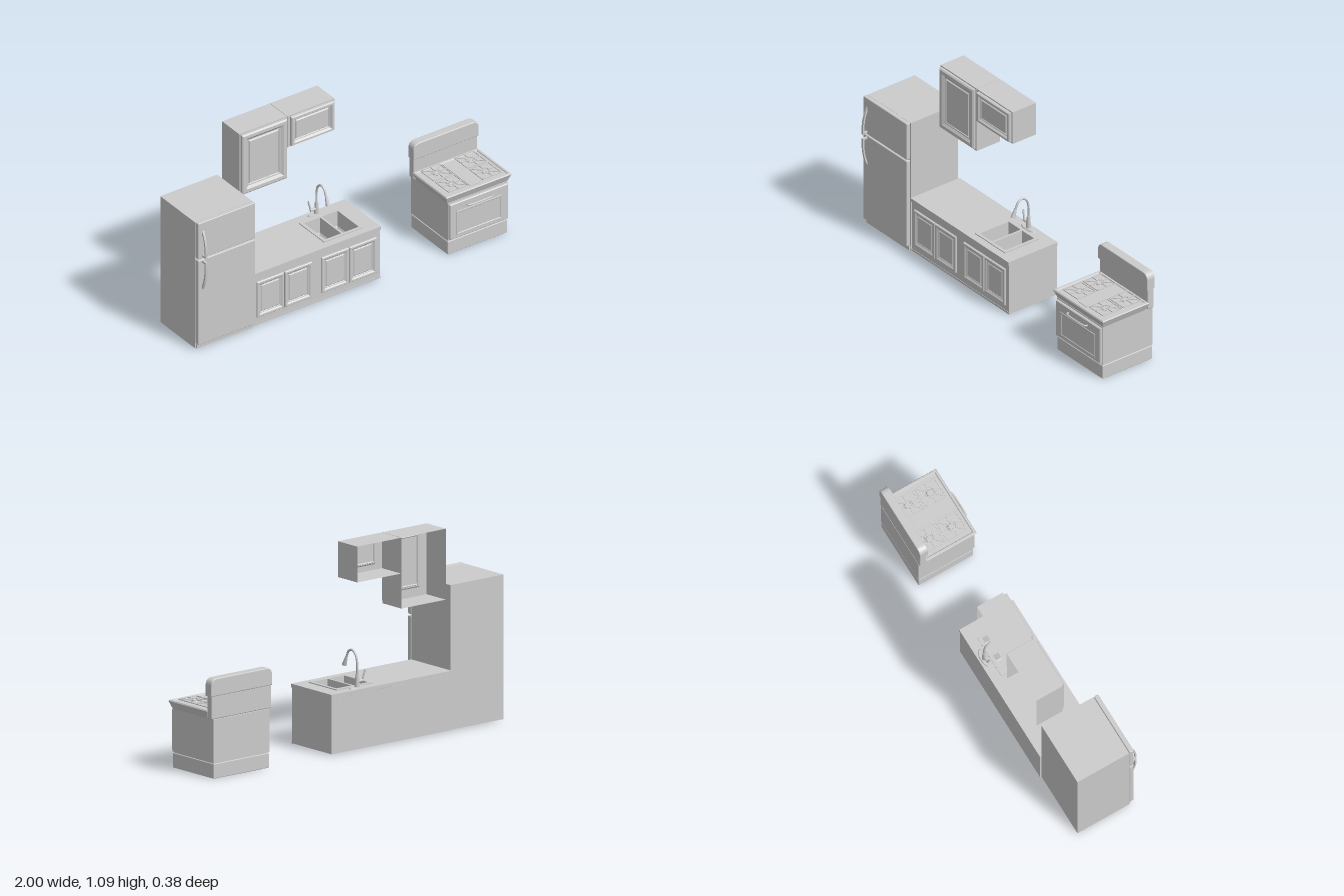
import * as THREE from 'three';
import { RoundedBoxGeometry } from 'three/addons/geometries/RoundedBoxGeometry.js';

const mat = new THREE.MeshStandardMaterial({ color: 0xcccccc, side: THREE.DoubleSide });

function add(parent, name, geo) {
  const m = new THREE.Mesh(geo, mat);
  m.name = name;
  parent.add(m);
  return m;
}
function group(parent, name) {
  const g = new THREE.Group();
  g.name = name;
  parent.add(g);
  return g;
}
// Box from its limits; r rounds the edges
function box(parent, name, [x0, x1], [y0, y1], [z0, z1], r = 0) {
  const s = [x1 - x0, y1 - y0, z1 - z0];
  const geo = r ? new RoundedBoxGeometry(...s, 2, r) : new THREE.BoxGeometry(...s);
  return add(parent, name, geo.translate((x0 + x1) / 2, (y0 + y1) / 2, (z0 + z1) / 2));
}
// Box shell with some faces left open (0..5 = +x -x +y -y +z -z)
function shell(parent, name, xs, ys, zs, open) {
  const m = box(parent, name, xs, ys, zs);
  const idx = Array.from(m.geometry.index.array);
  m.geometry.setIndex(idx.filter((_, i) => !open.includes(Math.floor(i / 6))));
  return m;
}
// Nested rectangles facing +z, joined step by step: each step is [inset, z]
function rectLoft([x0, x1], [y0, y1], steps) {
  const loops = steps.map(([d, z]) => [
    [x0 + d, y0 + d, z], [x1 - d, y0 + d, z], [x1 - d, y1 - d, z], [x0 + d, y1 - d, z]]);
  const pos = [];
  const quad = (a, b, c, d) => pos.push(...a, ...b, ...c, ...a, ...c, ...d);
  for (let k = 1; k < loops.length; k++)
    for (let i = 0; i < 4; i++) {
      const j = (i + 1) % 4;
      quad(loops[k - 1][i], loops[k - 1][j], loops[k][j], loops[k][i]);
    }
  quad(...loops[loops.length - 1]);
  const geo = new THREE.BufferGeometry();
  geo.setAttribute('position', new THREE.Float32BufferAttribute(pos, 3));
  geo.computeVertexNormals();
  return geo;
}
function rectPath([x0, x1], [y0, y1], Type = THREE.Path) {
  return new Type([[x0, y0], [x1, y0], [x1, y1], [x0, y1]].map(p => new THREE.Vector2(...p)));
}
function plate(outer, holes) {
  const s = rectPath(...outer, THREE.Shape);
  s.holes = holes.map(h => rectPath(...h));
  return s;
}
const inset = ([xs, ys], d) => [[xs[0] + d, xs[1] - d], [ys[0] + d, ys[1] - d]];
const rod = (pts, r, n = 24) => new THREE.TubeGeometry(
  new THREE.CatmullRomCurve3(pts.map(p => new THREE.Vector3(...p))), n, r, 10);

// Cabinet: shell, front frame with openings and panelled doors
function cabinet(parent, name, xs, ys, zs, open, doors, w, t) {
  const g = group(parent, name);
  const z = zs[1];
  shell(g, 'cabinetShell', xs, ys, zs, [4, ...open]);
  add(g, 'faceFrame', new THREE.ShapeGeometry(plate([xs, ys], doors.map(d => inset(d, w * 0.8))))
    .translate(0, 0, z));
  for (const d of doors)
    add(g, 'panelDoor', rectLoft(...d, [[0, z], [0, z + t * 0.65], [w * 0.15, z + t], [w * 0.55, z + t],
      [w * 0.85, z + t * 0.45], [w, z + t * 0.45], [w + 0.003, z + t * 0.2], [w + 0.008, z + t * 0.55]]));
}

function buildFridge(root) {
  const g = group(root, 'refrigerator');
  const xs = [-1, -0.637];
  shell(g, 'fridgeBody', xs, [0.005, 0.78], [-0.182, 0.132], [3]);
  box(g, 'freezerDoor', xs, [0.564, 0.784], [0.134, 0.16], 0.005);
  box(g, 'fridgeDoor', xs, [0.036, 0.556], [0.134, 0.16], 0.005);
  box(g, 'kickPlate', [-0.995, -0.642], [0.007, 0.032], [0.13, 0.142]);
  // Bowed handles, mirrored about the gap between the doors
  for (const [foot, len] of [[0.575, 0.16], [0.55, -0.18]]) {
    const y = t => foot + len * t;
    const s = new THREE.Shape();
    s.moveTo(0.158, y(1));
    s.quadraticCurveTo(0.188, y(0.7), 0.192, y(0.2));
    s.lineTo(0.192, y(0));
    s.lineTo(0.158, y(0));
    s.lineTo(0.158, y(0.06));
    s.lineTo(0.183, y(0.06));
    s.quadraticCurveTo(0.182, y(0.6), 0.158, y(0.86));
    add(g, 'doorHandle', new THREE.ExtrudeGeometry(s, { depth: 0.012, bevelEnabled: false })
      .rotateY(-Math.PI / 2).translate(-0.963, 0, 0));
  }
}

function buildCounter(root) {
  const g = group(root, 'counter');
  const doorY = [0.05, 0.268];
  const z = [-0.19, 0.127];
  cabinet(g, 'baseCabinet', [-0.635, -0.228], [0.005, 0.303], z, [],
    [[[-0.607, -0.434], doorY], [[-0.43, -0.257], doorY]], 0.025, 0.011);
  cabinet(g, 'sinkCabinet', [-0.228, 0.18], [0.005, 0.303], z, [2, 3],
    [[[-0.195, -0.022], doorY], [[-0.018, 0.155], doorY]], 0.025, 0.011);
  box(g, 'toeStrip', [-0.637, 0.182], [0.004, 0.016], [0.12, 0.129]);

  // Worktop and sink, drawn as (x, -z) outlines and laid flat
  const flat = (shape, depth, y) => new THREE.ExtrudeGeometry(shape, { depth, bevelEnabled: false })
    .rotateX(-Math.PI / 2).translate(0, y, 0);
  const rim = [[-0.15, 0.1], [-0.092, 0.135]];
  add(g, 'worktop', flat(plate([[-0.637, 0.183], [-0.134, 0.192]], [inset(rim, 0.008)]), 0.02, 0.304));
  const basins = [[-0.13, -0.03], [-0.018, 0.082]].map(x => [x, [-0.075, 0.115]]);
  add(g, 'sinkRim', flat(plate(rim, basins), 0.006, 0.323));
  for (const b of basins) {
    add(g, 'sinkBasin', rectLoft(...b, [[0, 0.328], [0.004, 0.24], [0.012, 0.23]]).rotateX(-Math.PI / 2));
    add(g, 'drain', new THREE.CylinderGeometry(0.012, 0.012, 0.004, 16)
      .translate((b[0][0] + b[0][1]) / 2, 0.232, -0.02));
  }

  // Faucet with goose neck and side lever
  const f = group(g, 'faucet');
  f.position.set(-0.02, 0.324, -0.16);
  add(f, 'faucetPlate', new THREE.CylinderGeometry(0.05, 0.055, 0.007, 32).scale(1, 1, 0.42).translate(0, 0.003, 0));
  add(f, 'faucetPost', new THREE.CylinderGeometry(0.009, 0.014, 0.07, 16).translate(0, 0.04, 0));
  add(f, 'faucetNeck', rod([[0, 0.06, 0], [0, 0.13, 0], [0, 0.175, 0.012], [0, 0.196, 0.04],
    [0, 0.186, 0.068], [0, 0.15, 0.086]], 0.006, 40));
  const head = add(f, 'sprayHead', new THREE.CylinderGeometry(0.007, 0.013, 0.05, 16));
  head.position.set(0, 0.128, 0.095);
  head.rotation.x = -0.36;
  add(f, 'leverHub', new THREE.CylinderGeometry(0.008, 0.008, 0.04, 12).rotateZ(Math.PI / 2).translate(-0.02, 0.035, 0));
  add(f, 'lever', rod([[-0.036, 0.03, 0], [-0.042, 0.06, -0.002], [-0.05, 0.09, -0.004]], 0.005));
}

function buildWallCabinets(root) {
  const g = group(root, 'wallCabinets');
  const z = [-0.19, -0.035];
  cabinet(g, 'tallWallCabinet', [-0.6, -0.297], [0.71, 1.09], z, [5],
    [[[-0.592, -0.305], [0.722, 1.083]]], 0.045, 0.018);
  cabinet(g, 'shortWallCabinet', [-0.295, 0.005], [0.898, 1.09], z, [5],
    [[[-0.278, -0.005], [0.906, 1.083]]], 0.028, 0.018);
}

function buildStove(root) {
  const g = group(root, 'stove');
  const cx = 0.792;
  const wide = w => [cx - w, cx + w];
  box(g, 'drawer', wide(0.19), [0, 0.08], [-0.187, 0.143], 0.004);
  box(g, 'drawerGap', wide(0.185), [0.075, 0.09], [-0.183, 0.138]);
  box(g, 'ovenBody', wide(0.19), [0.085, 0.316], [-0.187, 0.143]);
  add(g, 'ovenDoor', rectLoft(wide(0.185), [0.093, 0.309], [[0, 0.142], [0, 0.153], [0.004, 0.157]]));
  add(g, 'ovenWindow', rectLoft(wide(0.145), [0.112, 0.258],
    [[0, 0.156], [0.002, 0.16], [0.009, 0.16], [0.012, 0.1575]]));
  add(g, 'ovenHandle', rod([[cx - 0.08, 0.28, 0.152], [cx - 0.077, 0.28, 0.168], [cx - 0.06, 0.28, 0.173],
    [cx + 0.06, 0.28, 0.173], [cx + 0.077, 0.28, 0.168], [cx + 0.08, 0.28, 0.152]], 0.005, 40));
  add(g, 'cooktop', rectLoft(wide(0.208), [-0.156, 0.152], [[0.016, 0.316], [0.003, 0.35], [0, 0.357],
    [0.004, 0.363], [0.014, 0.363], [0.018, 0.357]]).rotateX(-Math.PI / 2));
  box(g, 'cooktopCentre', wide(0.035), [0.355, 0.36], [-0.13, 0.125]);

  // Backguard: narrower foot under a rounded panel
  box(g, 'backguardFoot', wide(0.203), [0.318, 0.45], [-0.187, -0.147], 0.006);
  const s = new THREE.Shape();
  const w = 0.203, r = 0.035;
  s.moveTo(-w, 0.446);
  s.lineTo(w, 0.446);
  s.lineTo(w, 0.531 - r);
  s.quadraticCurveTo(w, 0.531, w - r, 0.531);
  s.lineTo(-w + r, 0.531);
  s.quadraticCurveTo(-w, 0.531, -w, 0.531 - r);
  add(g, 'backguard', new THREE.ExtrudeGeometry(s, { depth: 0.04, bevelSize: 0.005, bevelThickness: 0.005,
    bevelSegments: 3, curveSegments: 10 }).translate(cx, 0, -0.185));

  // Four burners, each under a square grate with radial arms
  for (const sx of [-1, 1]) for (const z of [-0.073, 0.06]) {
    const b = group(g, 'burner');
    b.position.set(cx + sx * 0.108, 0.357, z);
    add(b, 'burnerCap', new THREE.CylinderGeometry(0.016, 0.02, 0.008, 20).translate(0, 0.004, 0));
    add(b, 'grateRing', new THREE.TorusGeometry(0.025, 0.0025, 6, 24).rotateX(Math.PI / 2).translate(0, 0.01, 0));
    for (let i = 0; i < 8; i++) {
      const len = i % 2 ? 0.062 : 0.046;
      add(b, 'grateArm', new THREE.BoxGeometry(len, 0.004, 0.004)
        .translate(0.014 + len / 2, 0.011, 0)).rotation.y = i * Math.PI / 4;
    }
    for (let i = 0; i < 4; i++)
      add(b, 'grateSide', new THREE.BoxGeometry(0.12, 0.004, 0.004)
        .translate(0, 0.009, 0.06)).rotation.y = i * Math.PI / 2;
  }
}

export function createModel() {
  const root = new THREE.Group();
  root.name = 'kitchen';
  buildFridge(root);
  buildCounter(root);
  buildWallCabinets(root);
  buildStove(root);
  return root;
}
